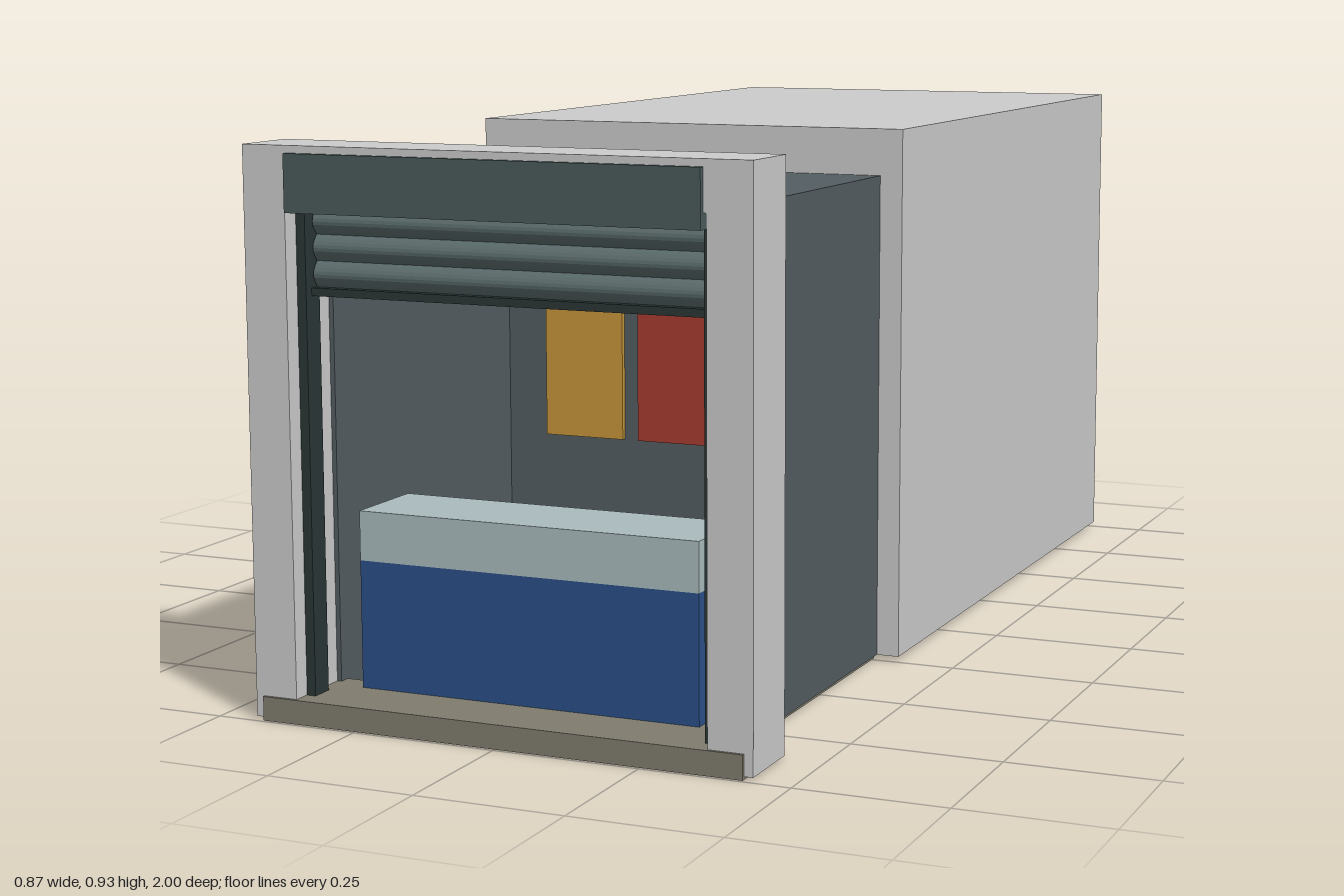
import * as THREE from 'three';

const mat = (color) => new THREE.MeshStandardMaterial({ color });
const GREY = mat(0xcccccc), WALL = mat(0x545d61), STONE = mat(0x807c6e);
const RAIL = mat(0x2a3535), SHUTTER = mat(0x5b6b6b), FASCIA = mat(0x4a5b5b);

export function createModel() {
  const group = new THREE.Group();

  const add = (name, geometry, material) => {
    const mesh = new THREE.Mesh(geometry, material);
    mesh.name = name;
    group.add(mesh);
    return mesh;
  };
  // Box given by its limits on each axis
  const box = (name, [x0, x1], [y0, y1], [z0, z1], material) =>
    add(name, new THREE.BoxGeometry(x1 - x0, y1 - y0, z1 - z0), material)
      .position.set((x0 + x1) / 2, (y0 + y1) / 2, (z0 + z1) / 2);

  // Large block behind the shop
  box('rearBlock', [-0.4, 0.4], [0.01, 0.93], [-1, 0.25], GREY);

  // Portal: two pillars and a lintel as one arch shape
  const arch = new THREE.Shape([
    [-0.435, 0.005], [-0.36, 0.005], [-0.36, 0.85], [0.36, 0.85],
    [0.36, 0.005], [0.435, 0.005], [0.435, 0.93], [-0.435, 0.93],
  ].map(([x, y]) => new THREE.Vector2(x, y)));
  add('portalFrame', new THREE.ExtrudeGeometry(arch, { depth: 0.125, bevelEnabled: false }), GREY)
    .position.z = 0.865;

  // Room shell between portal and block
  const room = [0.25, 0.865];
  box('roomFloor', [-0.355, 0.355], [0.003, 0.013], room, STONE);
  box('roomCeiling', [-0.36, 0.36], [0.84, 0.85], room, WALL);
  box('roomBackWall', [-0.352, 0.352], [0.01, 0.845], [0.251, 0.258], WALL);
  box('leftRoomWall', [0.352, 0.36], [0.01, 0.845], room, WALL);
  box('rightRoomWall', [-0.36, -0.352], [0.01, 0.845], room, WALL);

  // Threshold
  box('sill', [-0.42, 0.42], [0, 0.04], [0.845, 0.995], STONE);

  // Counter with a pale top
  box('counterBase', [-0.3, 0.3], [0.013, 0.252], [0.727, 0.884], mat(0x2a5088));
  box('counterTop', [-0.3, 0.3], [0.252, 0.334], [0.727, 0.884], mat(0xaabcbe));

  // Coloured panels on the back wall
  [0xc8963a, 0xa83c30, 0x6b9584].forEach((color, i) => {
    const x = -0.197 + i * 0.182;
    box('wallPanel', [x - 0.076, x + 0.076], [0.362, 0.74], [0.258, 0.268], mat(color));
  });

  // Shutter guides
  for (const s of [-1, 1]) {
    const x = s * 0.351;
    box(s > 0 ? 'leftGuide' : 'rightGuide', [x - 0.008, x + 0.008], [0.04, 0.825], [0.92, 0.96], RAIL);
  }

  // Rolled shutter: bulging slats above a bottom bar
  const slatHeight = 0.042;
  const bulge = new THREE.Shape();
  bulge.moveTo(0, 0);
  for (let i = 0; i <= 8; i++) {
    bulge.lineTo(-0.01 - 0.012 * Math.sin((Math.PI * i) / 8), (slatHeight * i) / 8);
  }
  bulge.lineTo(0, slatHeight);
  const slat = new THREE.ExtrudeGeometry(bulge, { depth: 0.68, bevelEnabled: false });
  slat.rotateY(Math.PI / 2);
  for (let i = 0; i < 3; i++) {
    add('shutterSlat', slat, SHUTTER).position.set(-0.34, 0.702 + i * slatHeight, 0.92);
  }
  box('shutterBottomBar', [-0.342, 0.342], [0.689, 0.702], [0.915, 0.945], RAIL);

  // Shutter housing across the lintel
  box('shutterHousing', [-0.355, 0.355], [0.825, 0.918], [0.9, 1], FASCIA);

  return group;
}
